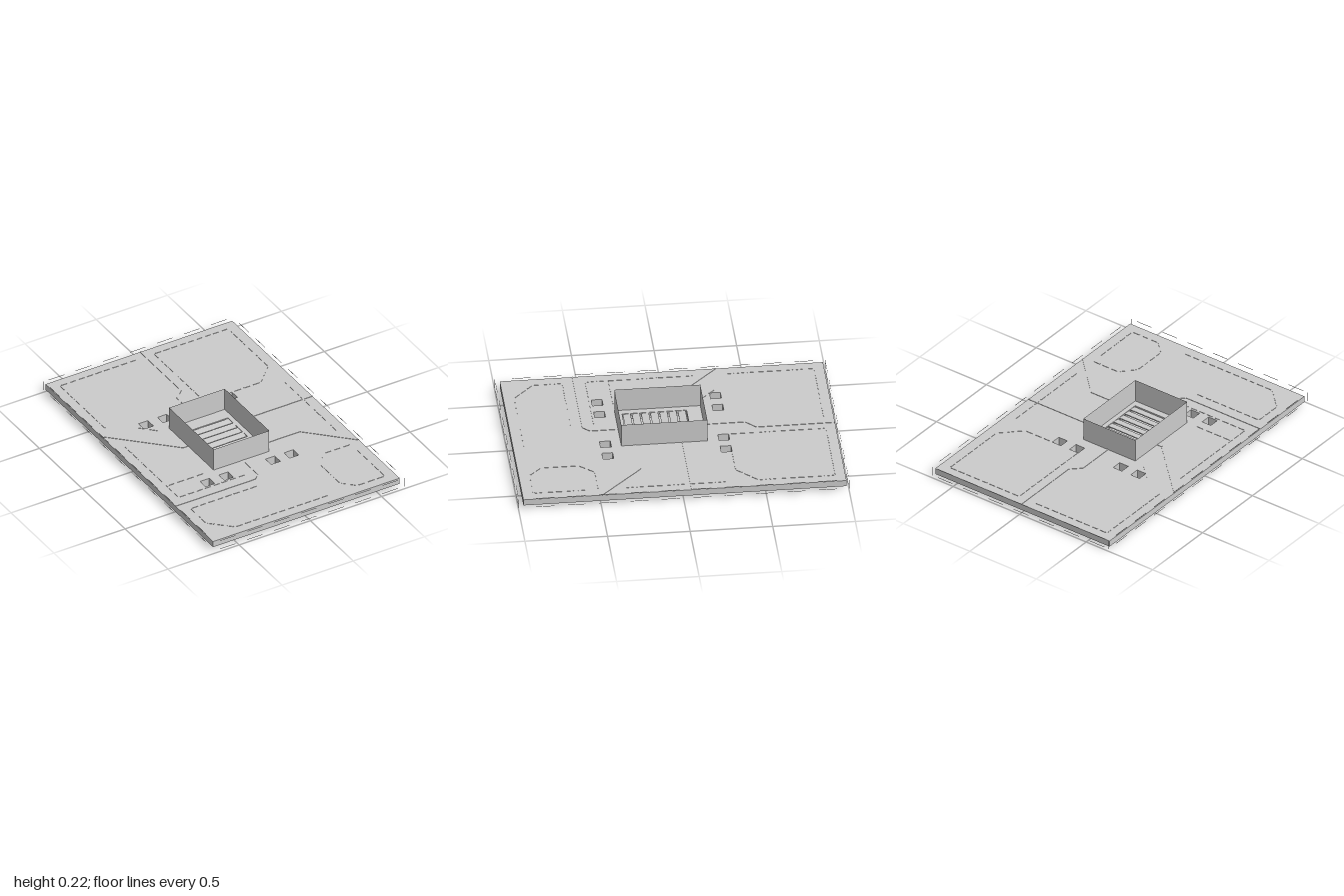
import * as THREE from 'three';

const grey = new THREE.MeshStandardMaterial({ color: 0xcccccc, flatShading: true, side: THREE.DoubleSide });
const SLAB_BOTTOM = 0.025, SLAB_TOP = 0.065;

export function createModel() {
  const model = new THREE.Group();

  function add(parent, geometry, name, x = 0, y = 0, z = 0) {
    const mesh = new THREE.Mesh(geometry, grey);
    mesh.name = name;
    mesh.position.set(x, y, z);
    parent.add(mesh);
    return mesh;
  }

  function group(name) {
    const g = new THREE.Group();
    g.name = name;
    model.add(g);
    return g;
  }

  // Thin-walled box without its top face
  function openBox(w, h, d) {
    const g = new THREE.BoxGeometry(w, h, d);
    const index = Array.from(g.index.array);
    index.splice(12, 6);
    g.setIndex(index);
    g.clearGroups();
    return g;
  }

  // Rectangular hole in plan, given in x and z
  function hole(x0, x1, z0, z1) {
    const p = new THREE.Path();
    p.moveTo(x0, -z0);
    p.lineTo(x1, -z0);
    p.lineTo(x1, -z1);
    p.lineTo(x0, -z1);
    p.closePath();
    return p;
  }

  // Floor slab with the pocket holes and the grille opening
  const slab = new THREE.Shape([
    new THREE.Vector2(-0.665, -0.97), new THREE.Vector2(0.645, -0.97),
    new THREE.Vector2(0.645, 0.985), new THREE.Vector2(-0.665, 0.985),
  ]);
  const size = 0.065;
  const pockets = group('floorPockets');
  for (const z of [-0.303, 0.413]) {
    for (const x of [-0.37, -0.238, 0.09, 0.22]) {
      slab.holes.push(hole(x - size / 2, x + size / 2, z - size / 2, z + size / 2));
      add(pockets, openBox(size, SLAB_BOTTOM, size), 'pocket', x, SLAB_BOTTOM / 2, z);
    }
  }
  slab.holes.push(hole(-0.23, 0.09, -0.113, 0.278));
  const slabGeometry = new THREE.ExtrudeGeometry(slab, { depth: SLAB_TOP - SLAB_BOTTOM, bevelEnabled: false });
  slabGeometry.rotateX(-Math.PI / 2);
  add(model, slabGeometry, 'floorSlab', 0, SLAB_BOTTOM, 0);

  // Open shaft through the slab, with a closed bottom
  add(model, openBox(0.39, 0.215, 0.52), 'shaftWalls', -0.075, 0.1075, 0.06);

  // Grille slats inside the shaft
  const grille = group('grille');
  for (let i = 0; i < 7; i++) {
    const slat = add(grille, new THREE.BoxGeometry(0.32, 0.006, 0.046), 'slat', -0.07, 0.059, -0.083 + i * 0.0555);
    slat.rotation.x = 0.12;
  }

  // Flat strip along a polyline of [x, z] points; a dash length breaks it up
  function line(parent, name, points, width, dash = 0) {
    for (let i = 0; i + 1 < points.length; i++) {
      const [x0, z0] = points[i], [x1, z1] = points[i + 1];
      const length = Math.hypot(x1 - x0, z1 - z0);
      const count = dash ? Math.max(1, Math.round(length / (dash * 1.5))) : 1;
      const piece = dash ? (length / count) * 0.67 : length;
      for (let k = 0; k < count; k++) {
        const t = (k + 0.5) / count;
        const strip = add(parent, new THREE.BoxGeometry(piece, 0.003, width), name,
          x0 + (x1 - x0) * t, SLAB_TOP + 0.001, z0 + (z1 - z0) * t);
        strip.rotation.y = -Math.atan2(z1 - z0, x1 - x0);
      }
    }
  }

  // Solid seams running from the shaft to the slab edges
  const seams = group('floorSeams');
  [
    [[0, -0.985], [0, -0.51], [-0.063, -0.45], [-0.063, -0.2]],
    [[0.12, -0.05], [0.645, -0.05]],
    [[-0.665, -0.335], [-0.305, 0.02], [-0.27, 0.02]],
    [[-0.665, 0.53], [-0.105, 0.53], [-0.065, 0.49], [-0.065, 0.32]],
    [[0.645, 0.495], [0.385, 0.235], [0.12, 0.235]],
  ].forEach((points) => line(seams, 'seam', points, 0.007));

  // Dashed outlines of the floor panels
  const outlines = group('panelOutlines');
  [
    [[0.06, -0.335], [0.06, -0.925], [0.58, -0.925], [0.58, -0.46], [0.455, -0.335], [0.26, -0.335]],
    [[-0.06, -0.925], [-0.6, -0.925], [-0.6, -0.39]],
    [[-0.44, -0.31], [-0.335, -0.205]],
    [[-0.6, -0.2], [-0.6, 0.46], [-0.13, 0.46]],
    [[-0.6, 0.32], [-0.335, 0.32]],
    [[0.58, -0.27], [0.58, 0.35]],
    [[0.58, 0.58], [0.58, 0.905], [0.385, 0.905], [0.31, 0.83], [0.31, 0.6], [0.39, 0.51], [0.58, 0.51]],
    [[0.19, 0.905], [-0.47, 0.905], [-0.6, 0.78], [-0.6, 0.6], [-0.13, 0.6]],
  ].forEach((points) => line(outlines, 'outlineDash', points, 0.004, 0.04));

  // Fine dashed trim standing just clear of the slab edge, high and low
  const trim = group('edgeTrim');
  const thin = 0.002;
  for (const y of [0.018, 0.077]) {
    for (let i = 0; i < 7; i++) {
      const x = -0.58 + i * 0.19;
      for (const z of [-0.999, 0.999]) add(trim, new THREE.BoxGeometry(0.11, thin, thin), 'trimDash', x, y, z);
    }
    for (let i = 0; i < 10; i++) {
      const z = -0.87 + i * 0.19;
      for (const x of [-0.669, 0.659]) add(trim, new THREE.BoxGeometry(thin, thin, 0.11), 'trimDash', x, y, z);
    }
  }
  for (const x of [-0.669, 0.659]) {
    for (const z of [-0.999, 0.999]) add(trim, new THREE.BoxGeometry(thin, 0.06, thin), 'trimCorner', x, 0.047, z);
  }

  return model;
}
